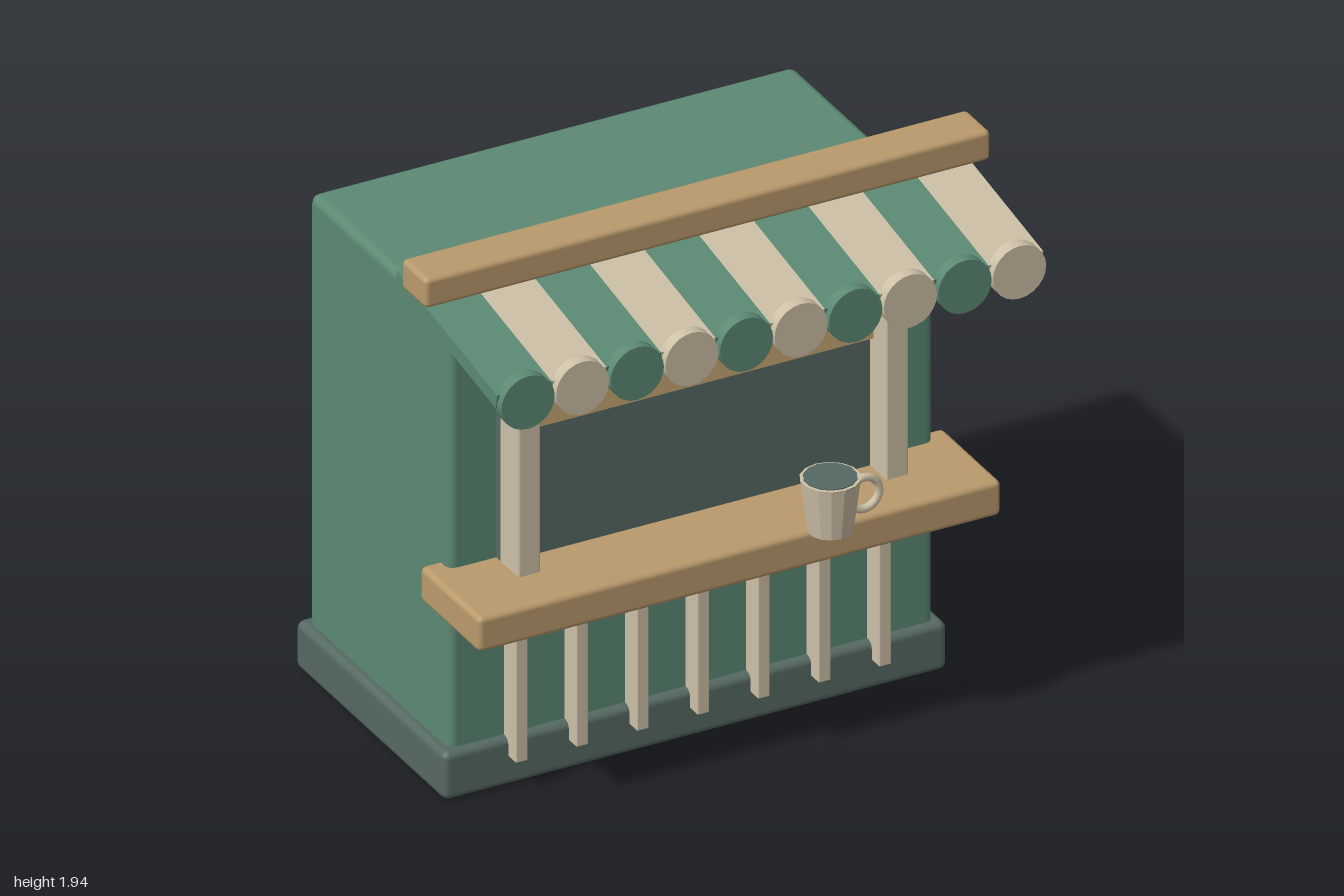
import * as THREE from 'three';
import { RoundedBoxGeometry } from 'three/addons/geometries/RoundedBoxGeometry.js';

const paint = (name, color, flatShading = false) => {
  const m = new THREE.MeshStandardMaterial({ color, flatShading });
  m.name = name;
  return m;
};

export function createModel() {
  const green = paint('green', 0x5c8a73);
  const slate = paint('slate', 0x566963);
  const cream = paint('cream', 0xcdc0a7);
  const wood = paint('wood', 0xba9a6c);
  const paleWood = paint('paleWood', 0xc9a974);

  const group = new THREE.Group();
  group.name = 'marketStall';

  const add = (parent, name, geometry, material, x = 0, y = 0, z = 0) => {
    const mesh = new THREE.Mesh(geometry, material);
    mesh.name = name;
    mesh.position.set(x, y, z);
    parent.add(mesh);
    return mesh;
  };

  // Box given by its limits on each axis, with edges rounded by r
  const block = (name, material, [x0, x1], [y0, y1], [z0, z1], r = 0) => {
    const size = [x1 - x0, y1 - y0, z1 - z0];
    const geometry = r ? new RoundedBoxGeometry(...size, 2, r) : new THREE.BoxGeometry(...size);
    return add(group, name, geometry, material, (x0 + x1) / 2, (y0 + y1) / 2, (z0 + z1) / 2);
  };

  // Booth
  block('base', slate, [-0.89, 0.89], [0, 0.17], [-0.74, 0.24], 0.025);
  block('body', green, [-0.857, 0.857], [0.02, 1.7], [-0.71, 0.21], 0.03);
  block('servingWindow', slate, [-0.69, 0.69], [0.72, 1.45], [0.17, 0.25], 0.015);
  block('signBoard', paleWood, [-0.605, 0.605], [1.28, 1.415], [0.23, 0.28]);
  block('counter', wood, [-0.925, 0.925], [0.685, 0.81], [0.142, 0.53], 0.02);
  block('roofBeam', wood, [-1, 1], [1.83, 1.937], [0.16, 0.32], 0.018);

  // Window posts
  for (const side of [-1, 1]) {
    const x = side * 0.65;
    block(side > 0 ? 'leftPost' : 'rightPost', cream, [x - 0.04, x + 0.04], [0.74, 1.427], [0.23, 0.356], 0.008);
  }

  // Slats below the counter
  for (let i = 0; i < 7; i++) {
    const x = (i - 3) * 0.214;
    block('slat', cream, [x - 0.021, x + 0.021], [0.105, 0.648], [0.2, 0.29], 0.004);
  }

  // Striped awning with a round scallop at the end of each stripe
  const awning = new THREE.Group();
  awning.name = 'awning';
  group.add(awning);
  const pitch = 0.193;
  const stripe = new THREE.BoxGeometry(pitch, 0.05, 0.67);
  const scallop = new THREE.CylinderGeometry(0.094, 0.094, 0.042, 24).rotateX(Math.PI / 2);
  for (let i = 0; i < 10; i++) {
    const x = (i - 4.5) * pitch;
    const material = i % 2 ? cream : green;
    add(awning, 'stripe', stripe, material, x, 1.752, 0.393).rotation.x = 0.176;
    add(awning, 'scallop', scallop, material, x, 1.68, 0.73);
  }

  // Mug standing on the counter
  const mug = new THREE.Group();
  mug.name = 'mug';
  mug.position.set(0.295, 0.92, 0.573);
  group.add(mug);
  const facetedCream = cream.clone();
  facetedCream.name = 'mugCream';
  facetedCream.flatShading = true;
  add(mug, 'cup', new THREE.CylinderGeometry(0.097, 0.073, 0.186, 14), facetedCream);
  add(mug, 'drink', new THREE.CylinderGeometry(0.086, 0.086, 0.006, 14), slate, 0, 0.094, 0);
  add(mug, 'handle', new THREE.TorusGeometry(0.056, 0.014, 8, 24), cream, 0.117, 0.005, 0);

  return group;
}
